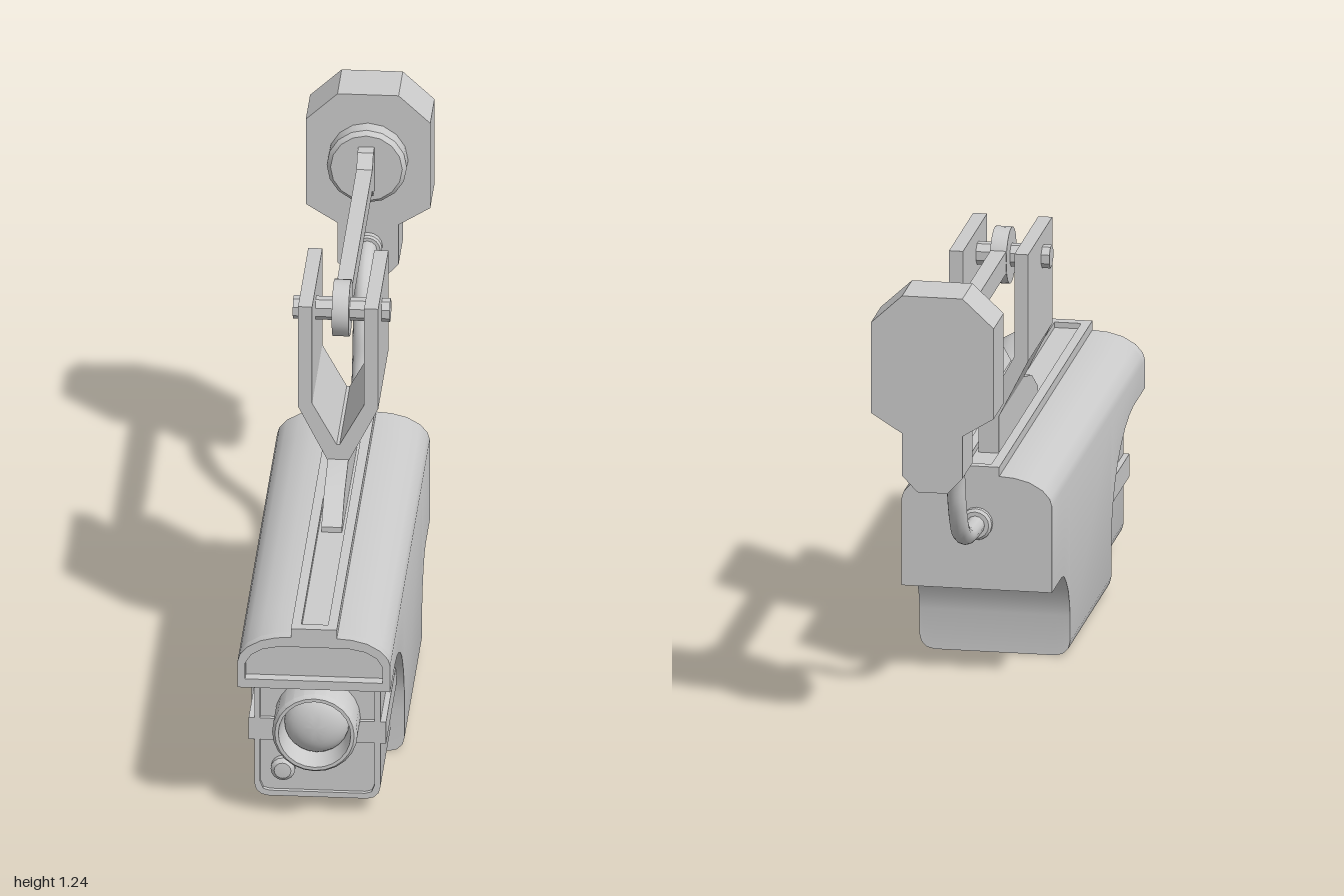
import * as THREE from 'three';
import { toCreasedNormals } from 'three/addons/utils/BufferGeometryUtils.js';

const V = (x, y) => new THREE.Vector2(x, y);
const toPoints = (list) => list.map(([x, y]) => V(x, y));
// right-hand outline, bottom to top, closed by its mirror image on the left
const mirrored = (half) => [...half, ...half.slice().reverse().map(([x, y]) => [-x, y])];

export function createModel() {
  const model = new THREE.Group();
  const material = new THREE.MeshStandardMaterial({ color: 0xcccccc });

  const add = (name, geometry, crease = 0.6) => {
    const mesh = new THREE.Mesh(toCreasedNormals(geometry, crease), material);
    mesh.name = name;
    model.add(mesh);
    return mesh;
  };
  // xy outline extruded from z0 to z1
  const extrudeZ = (outline, z0, z1, hole) => {
    const shape = new THREE.Shape(toPoints(outline));
    if (hole) shape.holes.push(new THREE.Path(toPoints(hole)));
    return new THREE.ExtrudeGeometry(shape, { depth: z1 - z0, bevelEnabled: false }).translate(0, 0, z0);
  };
  // zy outline extruded across x, centred
  const extrudeX = (outline, width) =>
    new THREE.ExtrudeGeometry(new THREE.Shape(toPoints(outline)), { depth: width, bevelEnabled: false })
      .translate(0, 0, -width / 2).rotateY(-Math.PI / 2);
  // [radius, z] profile turned around an axis parallel to z
  const turnZ = (profile, x, y, sides = 24) =>
    new THREE.LatheGeometry(toPoints(profile), sides).rotateX(Math.PI / 2).translate(x, y, 0);
  const box = (w, h, d, x, y, z) => new THREE.BoxGeometry(w, h, d).translate(x, y, z);

  // Housing: one cross-section whose underside rises and falls along z
  const roof = [[0.2, 0.485], [0.194, 0.505], [0.175, 0.527], [0.14, 0.547], [0.1, 0.557], [0.06, 0.56]];
  const section = mirrored([[0.16, 0], [0.18, 0.005], [0.195, 0.02], [0.2, 0.04], ...roof]);
  const underside = [
    [0.97, 0.41], [0.83, 0.41], [0.77, 0.402], [0.71, 0.385], [0.65, 0.355], [0.6, 0.32], [0.56, 0.275],
    [0.53, 0.225], [0.515, 0.175], [0.51, 0.12], [0.51, 0], [-0.09, 0], [-0.09, 0.11], [-0.1, 0.15],
    [-0.12, 0.19], [-0.15, 0.222], [-0.18, 0.243], [-0.215, 0.25], [-0.355, 0.25],
  ];
  const n = section.length, positions = [], indices = [];
  for (const [z, bottom] of underside)
    for (const [x, y] of section) positions.push(x, Math.max(y, bottom), z);
  for (let s = 0; s < underside.length - 1; s++)
    for (let i = 0; i < n; i++) {
      const a = s * n + i, b = s * n + (i + 1) % n;
      indices.push(a, a + n, b + n, a, b + n, b);
    }
  const last = (underside.length - 1) * n;
  for (let i = 1; i < n - 1; i++) {
    indices.push(0, i, i + 1);
    indices.push(last, last + i + 1, last + i);
  }
  const housing = new THREE.BufferGeometry();
  housing.setAttribute('position', new THREE.Float32BufferAttribute(positions, 3));
  housing.setIndex(indices);
  add('housing', housing);

  // Raised lip around the front of the hood
  add('hoodLip', extrudeZ(
    mirrored([[0.2, 0.41], ...roof]), 0.97, 1,
    mirrored([[0.18, 0.435], [0.18, 0.48], [0.165, 0.505], [0.135, 0.523], [0.09, 0.532]])));

  // Grooved rail along the roof
  add('roofRail', box(0.12, 0.022, 1.355, 0, 0.559, 0.3225));
  for (const side of [-1, 1])
    add('roofRailEdge', box(0.025, 0.015, 1.355, side * 0.0475, 0.5775, 0.3225));
  for (const z of [-0.3425, 0.985])
    add('roofRailEnd', box(0.07, 0.015, z < 0 ? 0.025 : 0.03, 0, 0.5775, z));

  // Camera body with a rimmed front and side rails
  const bodyOutline = (w, b, r) =>
    mirrored([[w - r, b], [w - r * 0.5, b + r * 0.13], [w - r * 0.13, b + r * 0.5], [w, b + r], [w, 0.412]]);
  add('cameraBody', extrudeZ(bodyOutline(0.165, 0.04, 0.035), 0.45, 0.868));
  add('cameraFrontRim', extrudeZ(bodyOutline(0.165, 0.04, 0.035), 0.868, 0.88,
    mirrored([[0.125, 0.055], [0.142, 0.06], [0.15, 0.08], [0.15, 0.405]])));
  add('sideRails', box(0.36, 0.062, 0.4, 0, 0.233, 0.68));

  // Lens barrel, glass and indicator
  add('lensBarrel', turnZ([[0.112, 0.86], [0.112, 0.965], [0.104, 0.977], [0.095, 0.977], [0.085, 0.9], [0, 0.9]], 0, 0.268));
  const dome = [];
  for (let i = 0; i <= 8; i++) {
    const t = (i / 8) * Math.PI / 2;
    dome.push([0.085 * Math.cos(t), 0.9 + 0.045 * Math.sin(t)]);
  }
  add('lensGlass', turnZ(dome, 0, 0.268));
  add('indicator', turnZ([[0.032, 0.86], [0.032, 0.885], [0.022, 0.895], [0, 0.897]], -0.09, 0.12, 16));

  // Bracket: sloped foot carrying a Y-shaped fork
  add('bracketFoot', extrudeX(
    [[-0.18, 0.565], [0.39, 0.565], [0.39, 0.585], [0.3, 0.642], [0.17, 0.675], [-0.18, 0.675]], 0.054));
  const forkRight = [[0.027, 0.67], [0.105, 0.825], [0.105, 1.115], [0.068, 1.115], [0.068, 0.835], [0.004, 0.718]];
  add('bracketFork', extrudeZ(mirrored(forkRight), -0.18, 0.17), 0.3);

  // Pivot and support arm
  add('pivotBolt', new THREE.CylinderGeometry(0.031, 0.031, 0.254, 8)
    .rotateY(Math.PI / 8).rotateZ(Math.PI / 2).translate(0, 1.048, 0.035), 0.3);
  add('armKnuckle', new THREE.CylinderGeometry(0.075, 0.075, 0.044, 24)
    .rotateZ(Math.PI / 2).translate(0, 1.048, 0.03));
  add('supportArm', extrudeX([
    [0.03, 1.018], [0.03, 1.078], [-0.73, 1.078], [-0.765, 1.11], [-0.81, 1.11],
    [-0.81, 0.986], [-0.765, 0.986], [-0.73, 1.018],
  ].reverse(), 0.042), 0.3);

  // Wall mount
  add('mountDisc', turnZ([[0.105, -0.86], [0.105, -0.812], [0.094, -0.8], [0, -0.8]], 0, 1.048, 16));
  add('wallPlate', extrudeZ(mirrored([
    [0.04, 0.702], [0.08, 0.745], [0.08, 0.86], [0.163, 0.912], [0.163, 1.158], [0.08, 1.235],
  ]), -1, -0.855), 0.3);

  // Cable and its grommets
  const path = new THREE.CatmullRomCurve3([
    [0.43, -0.35], [0.432, -0.43], [0.445, -0.52], [0.485, -0.595], [0.56, -0.637],
    [0.65, -0.66], [0.73, -0.7], [0.777, -0.76], [0.795, -0.82], [0.797, -0.86],
  ].map(([y, z]) => new THREE.Vector3(0, y, z)));
  add('cable', new THREE.TubeGeometry(path, 48, 0.025, 12), 0.8);
  add('housingGrommet', turnZ([[0, -0.376], [0.036, -0.376], [0.043, -0.369], [0.043, -0.35]], 0, 0.43, 16));
  add('wallGrommet', turnZ([[0.038, -0.86], [0.038, -0.838], [0.033, -0.832], [0, -0.832]], 0, 0.797, 16));

  return model;
}
